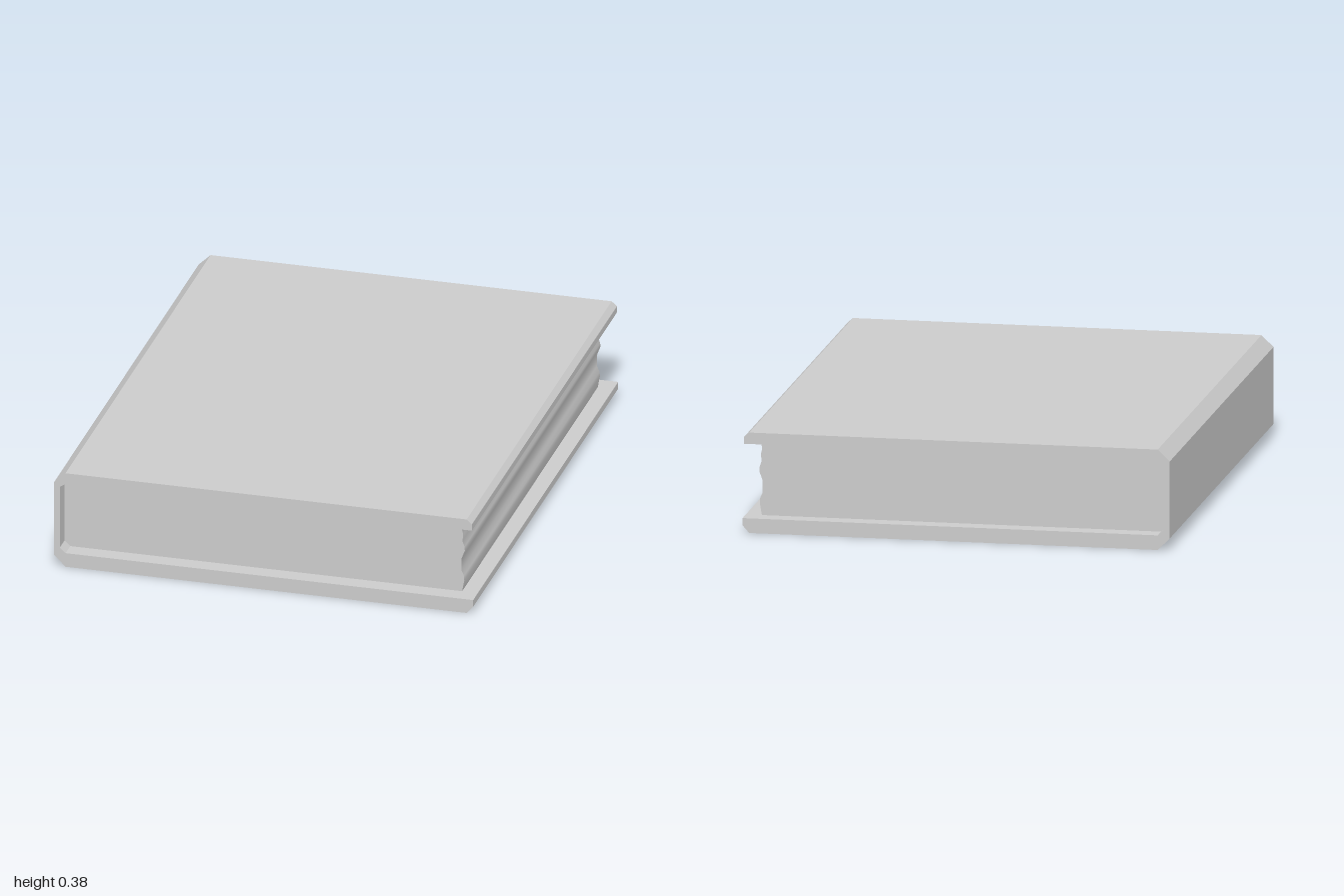
import * as THREE from 'three';
import { toCreasedNormals } from 'three/addons/utils/BufferGeometryUtils.js';

const material = new THREE.MeshStandardMaterial({ color: 0xcccccc });

// Extrudes an outline in x/y along z, centred on z = 0
function extrudePart(name, points, length) {
  const shape = new THREE.Shape(points.map(([x, y]) => new THREE.Vector2(x, y)));
  const geometry = new THREE.ExtrudeGeometry(shape, { depth: length, bevelEnabled: false });
  geometry.translate(0, 0, -length / 2);
  const mesh = new THREE.Mesh(toCreasedNormals(geometry, 0.6), material);
  mesh.name = name;
  return mesh;
}

export function createModel() {
  const book = new THREE.Group();
  book.name = 'book';

  // Hard cover: bottom board, spine and top board as one C-shaped section
  const cover = [
    [-0.8, 0.045], [-0.755, 0], [0.775, 0], [0.8, 0.028], [0.8, 0.055],
    [-0.755, 0.055], [-0.777, 0.075], [-0.777, 0.32], [-0.755, 0.335],
    [0.795, 0.335], [0.795, 0.36], [0.775, 0.378], [-0.755, 0.378], [-0.8, 0.335],
  ];
  book.add(extrudePart('cover', cover, 2));

  // Page block, recessed from the cover, with an uneven fore-edge
  const pages = [
    [-0.755, 0.055], [0.74, 0.055], [0.748, 0.1], [0.747, 0.118], [0.737, 0.14],
    [0.737, 0.185], [0.75, 0.22], [0.749, 0.235], [0.741, 0.258], [0.744, 0.285],
    [0.739, 0.305], [0.744, 0.335], [-0.755, 0.335], [-0.777, 0.32], [-0.777, 0.075],
  ];
  book.add(extrudePart('pages', pages, 1.87));

  return book;
}
